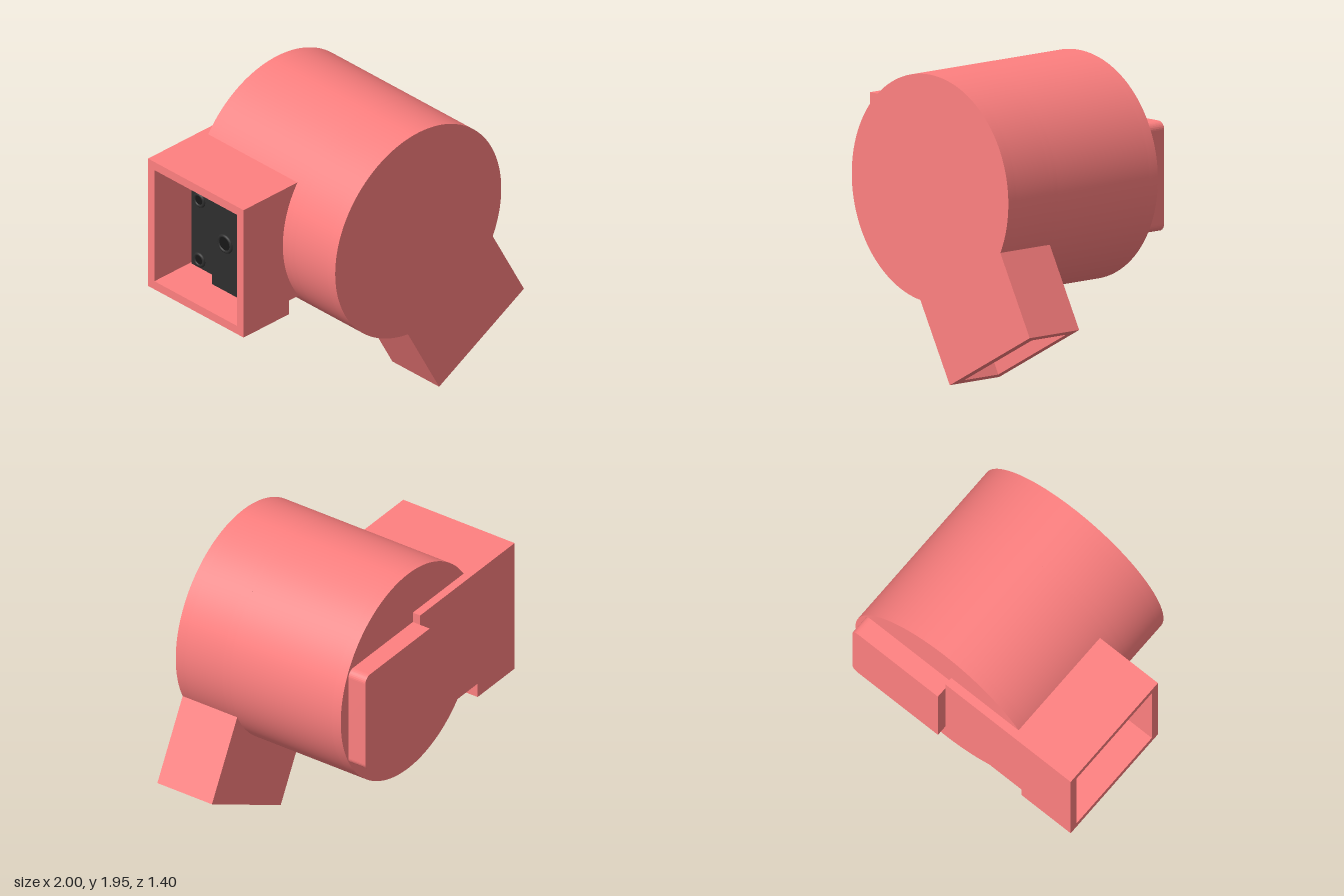
import * as THREE from 'three';
import { toCreasedNormals } from 'three/addons/utils/BufferGeometryUtils.js';

const RED = new THREE.MeshStandardMaterial({ color: 0xff8080 });
const BLACK = new THREE.MeshStandardMaterial({ color: 0x2e2e2e });
const DARK = new THREE.MeshStandardMaterial({ color: 0x161616 });

// Housing sizes: radius, wall, spout half width, spout reach from the axis
const R = 0.727, T = 0.065, W = 0.422, L = 1.167;

// Prism of an xy shape between two z levels
function slab(name, shape, z0, z1) {
  const geo = new THREE.ExtrudeGeometry(shape, { depth: z1 - z0, bevelEnabled: false, curveSegments: 96 });
  const mesh = new THREE.Mesh(toCreasedNormals(geo, 0.5), RED);
  mesh.position.z = z0;
  mesh.name = name;
  return mesh;
}

// Box given by its min and max corners
function block(name, [x0, y0, z0], [x1, y1, z1], material = RED) {
  const mesh = new THREE.Mesh(new THREE.BoxGeometry(x1 - x0, y1 - y0, z1 - z0), material);
  mesh.position.set((x0 + x1) / 2, (y0 + y1) / 2, (z0 + z1) / 2);
  mesh.name = name;
  return mesh;
}

const polygon = (pts) => new THREE.Shape(pts.map(([x, y]) => new THREE.Vector2(x, y)));
const innerHole = () => new THREE.Path().absarc(0, 0, R - T, 0, Math.PI * 2, true);

function disc() {
  return new THREE.Shape().absarc(0, 0, R, 0, Math.PI * 2, false);
}

// Round outline with a straight spout running down -y
function spoutOutline() {
  const a = Math.acos(W / R);
  const shape = new THREE.Shape();
  shape.moveTo(-W, -L);
  shape.lineTo(W, -L);
  shape.absarc(0, 0, R, -a, Math.PI + a, false);
  shape.closePath();
  return shape;
}

// The same outline as a thin wall, open at the spout mouth
function spoutWall() {
  const r = R - T, w = W - T, a = Math.acos(W / R), b = Math.acos(w / r);
  const shape = new THREE.Shape();
  shape.moveTo(w, -L);
  shape.lineTo(W, -L);
  shape.absarc(0, 0, R, -a, Math.PI + a, false);
  shape.lineTo(-W, -L);
  shape.lineTo(-w, -L);
  shape.absarc(0, 0, r, Math.PI + b, -b, true);
  shape.closePath();
  return shape;
}

function createHousing() {
  const housing = new THREE.Group();
  housing.name = 'drumHousing';
  const ring = disc();
  ring.holes.push(innerHole());
  const floor = spoutOutline();
  floor.holes.push(innerHole());
  housing.add(
    slab('drumBack', disc(), -0.57, -0.5),
    slab('drumWall', ring, -0.5, 0.28),
    slab('spoutFloor', floor, 0.28, 0.34),
    slab('spoutWall', spoutWall(), 0.34, 0.63),
    slab('frontLid', spoutOutline(), 0.63, 0.7),
  );
  housing.position.set(0.071, 1.229, 0);
  housing.rotation.z = 0.495;
  return housing;
}

// Side box, open towards -x, with a step in its underside
function createSideBox() {
  const box = new THREE.Group();
  box.name = 'sideBox';
  const panel = (x) => polygon([[-1, 0.7], [-0.6, 0.7], [-0.6, 0.8], [x, 0.8], [x, 1.64], [-1, 1.64]]);
  box.add(
    slab('boxBackPanel', panel(0.02), -0.627, -0.57),
    slab('boxFrontPanel', panel(-0.5), 0.17, 0.23),
    block('boxTop', [-1, 1.58, -0.57], [-0.5, 1.64, 0.17]),
    block('boxBottom', [-1, 0.7, -0.57], [-0.6, 0.76, 0.17]),
    block('boxStep', [-0.66, 0.76, -0.57], [-0.6, 0.86, 0.17]),
    block('boxBottomInner', [-0.6, 0.8, -0.57], [-0.5, 0.86, 0.17]),
  );
  return box;
}

// Dark unit inside the box, facing -x, with a centre bore and four screws
function createUnit() {
  const unit = new THREE.Group();
  unit.name = 'innerUnit';
  const z = -0.13, y = 1.15, x = -0.81;
  unit.add(
    block('unitBody', [x, 0.87, -0.43], [-0.6, 1.42, 0.17], BLACK),
    block('unitTab', [x, 0.8, -0.25], [-0.66, 0.88, -0.02], BLACK),
  );
  const round = (name, dy, dz, radius) => {
    const rim = new THREE.Mesh(new THREE.TorusGeometry(radius, 0.012, 8, 24), BLACK);
    const face = new THREE.Mesh(new THREE.CylinderGeometry(radius, radius, 0.01, 24), DARK);
    rim.rotation.y = Math.PI / 2;
    face.rotation.z = Math.PI / 2;
    const part = new THREE.Group();
    part.name = name;
    part.position.set(x, y + dy, z + dz);
    part.add(rim, face);
    unit.add(part);
  };
  round('centreBore', 0, 0, 0.055);
  for (const sy of [-1, 1]) for (const sz of [-1, 1]) round('screw', sy * 0.22, sz * 0.23, 0.04);
  return unit;
}

// Raised cover on the back with its two outer corners rounded
function createBackCover() {
  const x0 = 0.02, x1 = 0.715, y0 = 0.87, y1 = 1.57, r = 0.05;
  const shape = new THREE.Shape();
  shape.moveTo(x0, y1);
  shape.lineTo(x0, y0);
  shape.absarc(x1 - r, y0 + r, r, -Math.PI / 2, 0, false);
  shape.absarc(x1 - r, y1 - r, r, 0, Math.PI / 2, false);
  shape.closePath();
  return slab('backCover', shape, -0.7, -0.57);
}

export function createModel() {
  const model = new THREE.Group();
  model.name = 'blower';
  model.add(createHousing(), createSideBox(), createUnit(), createBackCover());
  return model;
}
